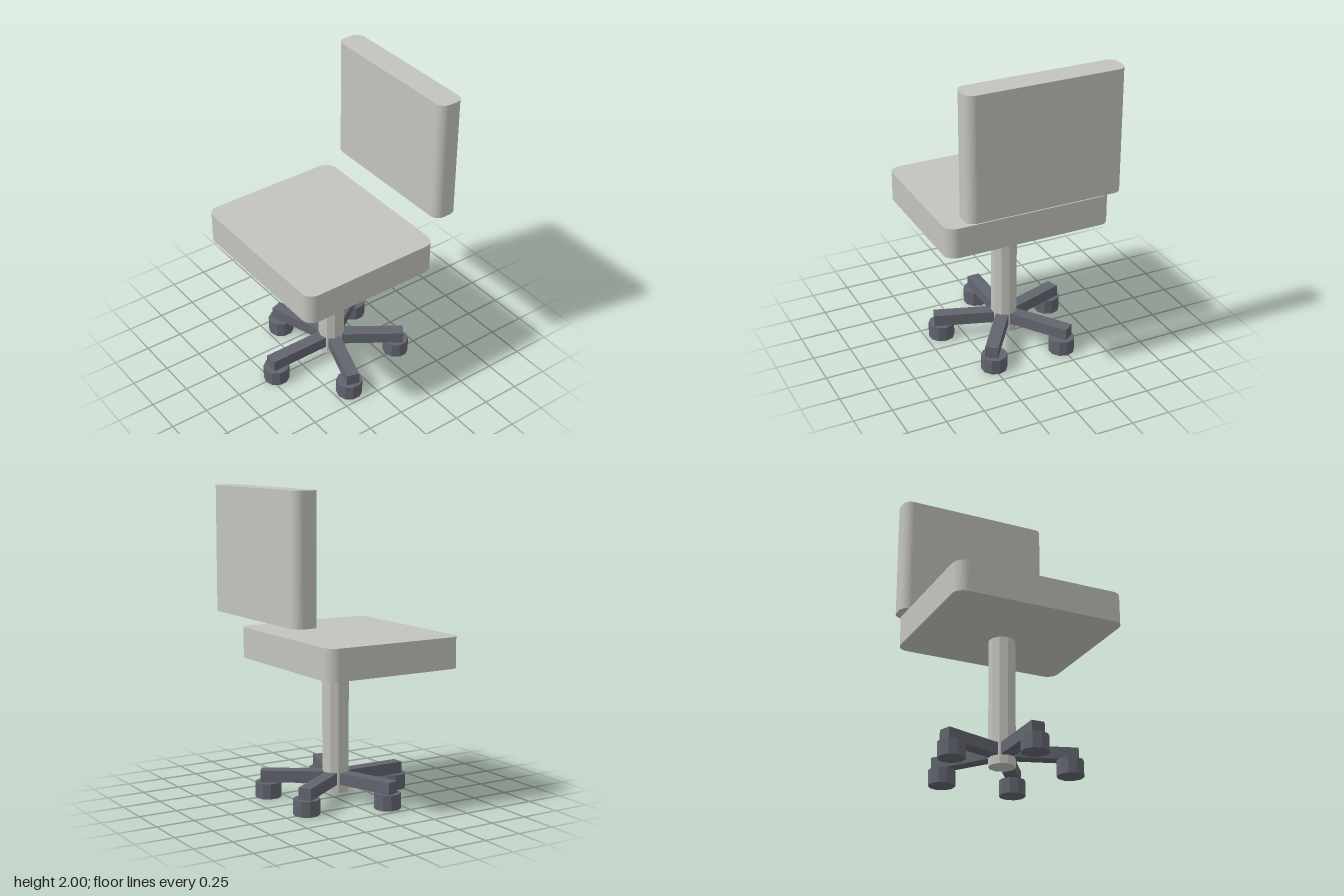
import * as THREE from 'three';

const upholstery = new THREE.MeshStandardMaterial({ name: 'lightGrey', color: 0xc4c4be, flatShading: true });
const plastic = new THREE.MeshStandardMaterial({ name: 'slateGrey', color: 0x62656f, flatShading: true });

// Upright slab with a rounded-rectangle plan, standing on y = 0
function cushion(name, width, depth, height, radius) {
  const x = width / 2, z = depth / 2, r = radius;
  const shape = new THREE.Shape();
  shape.absarc(x - r, z - r, r, 0, Math.PI / 2);
  shape.absarc(-x + r, z - r, r, Math.PI / 2, Math.PI);
  shape.absarc(-x + r, -z + r, r, Math.PI, Math.PI * 1.5);
  shape.absarc(x - r, -z + r, r, Math.PI * 1.5, Math.PI * 2);
  const geo = new THREE.ExtrudeGeometry(shape, { depth: height, bevelEnabled: false, curveSegments: 5 });
  geo.rotateX(-Math.PI / 2);
  const mesh = new THREE.Mesh(geo, upholstery);
  mesh.name = name;
  return mesh;
}

export function createModel() {
  const chair = new THREE.Group();
  chair.name = 'officeChair';

  // Seat and floating backrest
  const seat = cushion('seat', 1.12, 0.96, 0.2, 0.075);
  seat.position.set(0, 0.875, 0.1);
  const back = cushion('backrest', 1.03, 0.17, 0.8, 0.06);
  back.position.set(0, 1.2, -0.5);
  chair.add(seat, back);

  // Ten-sided column reaching below the spokes
  const hubZ = 0.01;
  const column = new THREE.Mesh(new THREE.CylinderGeometry(0.085, 0.085, 0.83, 10), upholstery);
  column.name = 'column';
  column.position.set(0, 0.46, hubZ);
  chair.add(column);

  // Five spokes: angle from the front, outer reach, caster x and z
  const base = new THREE.Group();
  base.name = 'fiveStarBase';
  const inner = 0.06;
  const addSpoke = (angle, reach, casterX, casterZ) => {
    const geo = new THREE.BoxGeometry(0.084, 0.077, reach - inner);
    geo.translate(0, 0, (reach + inner) / 2);
    const spoke = new THREE.Mesh(geo, plastic);
    spoke.name = 'spoke';
    spoke.position.set(0, 0.1385, hubZ);
    spoke.rotation.y = THREE.MathUtils.degToRad(angle);
    const caster = new THREE.Mesh(new THREE.CylinderGeometry(0.085, 0.085, 0.1, 10), plastic);
    caster.name = 'caster';
    caster.position.set(casterX, 0.05, casterZ);
    base.add(spoke, caster);
  };
  addSpoke(0, 0.488, 0, 0.455);
  for (const side of [1, -1]) {
    addSpoke(side * 71.7, 0.465, side * 0.392, 0.15);
    addSpoke(side * 145, 0.482, side * 0.242, -0.35);
  }
  chair.add(base);
  return chair;
}
